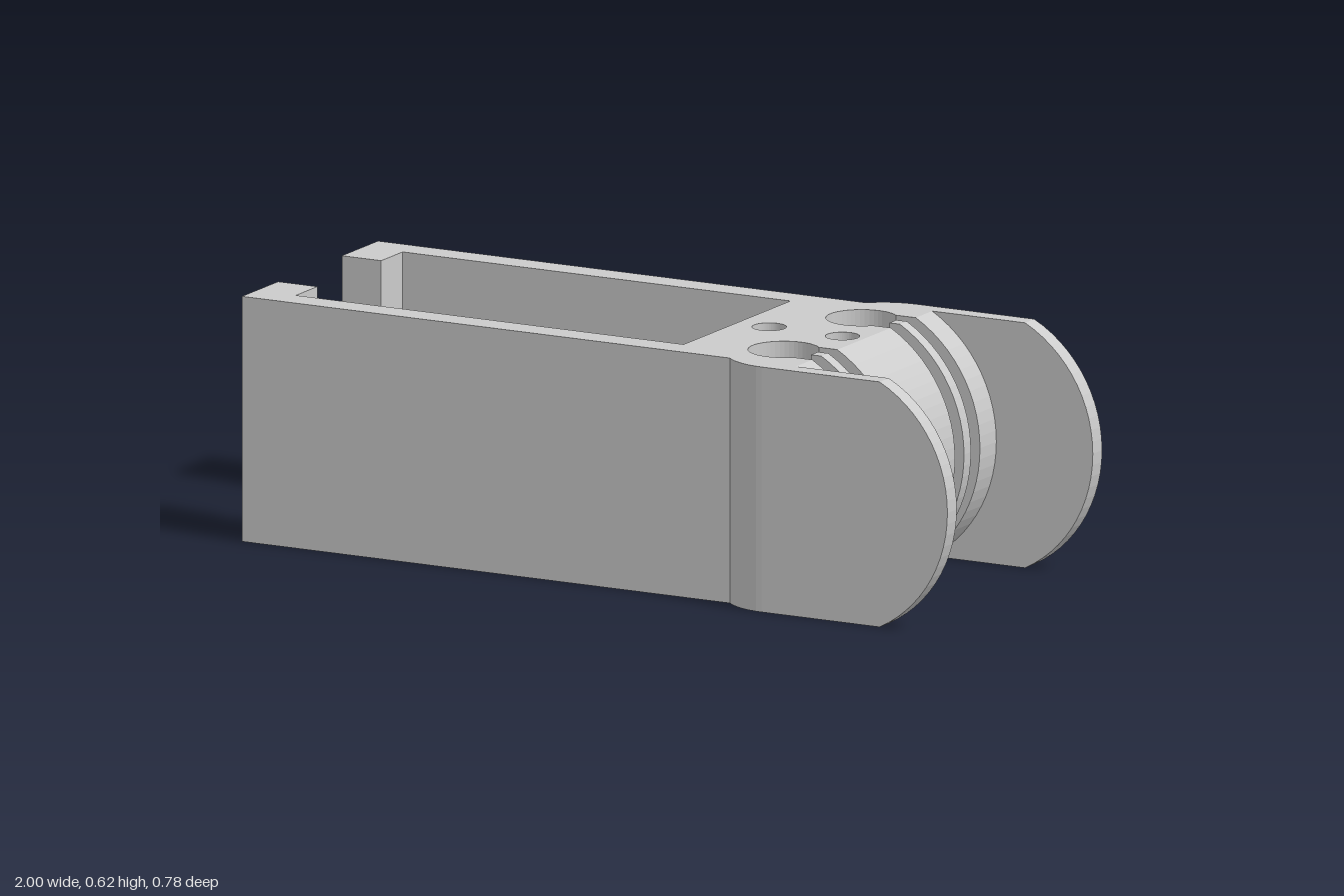
import * as THREE from 'three';

const H = 0.615, MID = H / 2;
const OUT = 0.3415, IN = 0.268, WIDE = 0.388; // half widths: body, cavity, cheeks
const SPLIT = 0.538;                          // where the vertical-hole block meets the round nose
const G = [0.1345, 0.1795, 0.2145, 0.2595];   // cable groove edges
const DEEP = 0.045;                           // groove depth
const HOLE = 0.042, BORE = 0.088, BX = 0.435, BZ = 0.195;

const material = new THREE.MeshStandardMaterial({ color: 0xcccccc });

function addMesh(parent, name, geometry) {
  const mesh = new THREE.Mesh(geometry, material);
  mesh.name = name;
  parent.add(mesh);
  return mesh;
}

function arcPoints(cx, cy, r, a0, a1, n) {
  return Array.from({ length: n + 1 }, (_, i) => {
    const a = a0 + (a1 - a0) * i / n;
    return [cx + r * Math.cos(a), cy + r * Math.sin(a)];
  });
}

const toShape = (points) => new THREE.Shape(points.map(([x, y]) => new THREE.Vector2(x, y)));

// Horizontal slice of the C-shaped body, drawn for one half and mirrored
function bodyLayer({ y0, y1, holes, slots, bores, notch }) {
  const half = [];
  if (slots) {
    for (const [a, b] of [[G[0], G[1]], [G[2], G[3]]]) {
      half.push([SPLIT, a], [0.485, a], [0.485, b], [SPLIT, b]);
    }
  }
  if (bores) {
    const a0 = Math.asin((G[0] - BZ) / BORE), a1 = Math.asin((G[3] - BZ) / BORE);
    half.push([SPLIT, G[0]], ...arcPoints(BX, BZ, BORE, a0, a1 - Math.PI * 2, 36), [SPLIT, G[3]]);
  }
  // Flare out to the cheek, then along the wall to the lip
  const r = 0.165;
  half.push([SPLIT, WIDE], ...arcPoints(0.48, WIDE - r, r, Math.PI / 2, Math.PI - Math.asin((OUT - WIDE + r) / r), 8));
  half.push([-1, OUT]);
  if (notch) half.push([-1, IN], [0.295, IN], [0.295, 0.16], [0.195, 0.16]);
  else half.push([-1, 0.16], [-0.89, 0.16], [-0.89, IN], [0.195, IN]);

  const shape = toShape([...half, ...half.map(([x, w]) => [x, -w]).reverse()]);
  for (const [x, w] of holes) {
    shape.holes.push(new THREE.Path().absarc(x, w, HOLE, 0, Math.PI * 2, true));
  }
  return new THREE.ExtrudeGeometry(shape, { depth: y1 - y0, bevelEnabled: false, curveSegments: 24 })
    .rotateX(-Math.PI / 2).translate(0, y0, 0);
}

// Vertical slice with a rounded front, spanning z0..z1
function roundSlice(cx, r, halfHeight, z0, z1) {
  const a = Math.asin(Math.min(1, halfHeight / r));
  const points = [[SPLIT, MID - halfHeight], ...arcPoints(cx, MID, r, -a, a, 26), [SPLIT, MID + halfHeight]];
  return new THREE.ExtrudeGeometry(toShape(points), { depth: z1 - z0, bevelEnabled: false })
    .translate(0, 0, z0);
}

export function createModel() {
  const model = new THREE.Group();
  model.name = 'pulleyBracket';
  const parts = new THREE.Group();
  parts.name = 'bracketParts';
  parts.position.z = -0.003;
  model.add(parts);

  // Body: stacked slices with cable slots, screw holes, lip notch and counterbores
  const centre = [0.285, 0], blind = [0.49, 0], screws = [[BX, BZ], [BX, -BZ]];
  const layers = [
    { y0: 0, y1: DEEP, holes: [centre, ...screws], slots: true },
    { y0: DEEP, y1: 0.27, holes: [centre, ...screws] },
    { y0: 0.27, y1: 0.345, holes: [centre, ...screws], notch: true },
    { y0: 0.345, y1: H - DEEP, holes: [centre, blind, ...screws] },
    { y0: H - DEEP, y1: H, holes: [centre, blind], bores: true },
  ];
  layers.forEach((layer, i) => addMesh(parts, 'bodyLayer' + (i + 1), bodyLayer(layer)));

  // Round nose: full-size lands alternating with recessed grooves
  const R = 0.353, CX = 0.377;
  const land = (name, z0, z1) => addMesh(parts, name, roundSlice(CX, R, MID, z0, z1));
  const groove = (name, z0, z1) => addMesh(parts, name, roundSlice(CX, R - DEEP, MID - DEEP, z0, z1));
  land('noseCentre', -G[0], G[0]);

  for (const s of [1, -1]) {
    const side = s > 0 ? 'Front' : 'Back';
    const span = (a, b) => (s > 0 ? [a, b] : [-b, -a]);
    groove('innerGroove' + side, ...span(G[0], G[1]));
    land('grooveRib' + side, ...span(G[1], G[2]));
    groove('outerGroove' + side, ...span(G[2], G[3]));
    land('noseEnd' + side, ...span(G[3], OUT));

    // Top of the rib reaching back to the counterbore
    addMesh(parts, 'ribTop' + side, new THREE.BoxGeometry(SPLIT - 0.521, DEEP, G[2] - G[1]))
      .position.set((SPLIT + 0.521) / 2, H - DEEP / 2, s * (G[1] + G[2]) / 2);

    // Rounded cheek plate
    addMesh(parts, 'cheek' + side, roundSlice(0.656, 0.344, MID, ...span(OUT, WIDE)));
  }
  return model;
}
